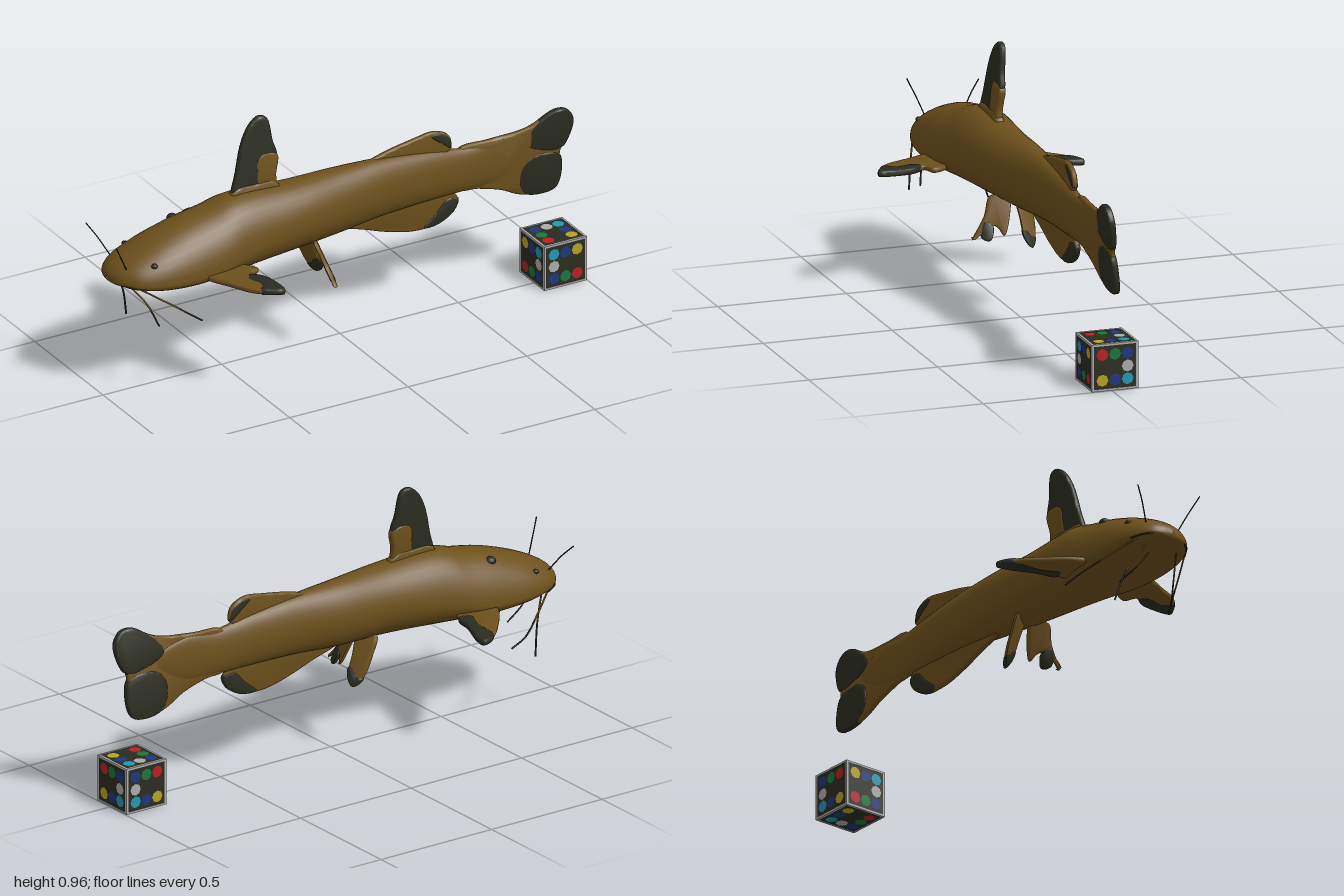
import * as THREE from 'three';
import { toCreasedNormals } from 'three/addons/utils/BufferGeometryUtils.js';

const V = (x, y, z = 0) => new THREE.Vector3(x, y, z);
const material = (name, color) => {
  const m = new THREE.MeshStandardMaterial({ color });
  m.name = name;
  return m;
};

export function createModel() {
  const model = new THREE.Group();
  const skin = material('brown skin', 0x6d501c);
  const dark = material('dark fin', 0x2b2c20);
  const red = material('red', 0xbc1e22);
  const green = material('green', 0x1c763a);
  const blue = material('blue', 0x22357e);
  const cyan = material('cyan', 0x2098b4);
  const yellow = material('yellow', 0xb8a220);
  const white = material('pale grey', 0xacacac);

  const add = (name, geometry, mat, parent = model) => {
    const mesh = new THREE.Mesh(geometry, mat);
    mesh.name = name;
    parent.add(mesh);
    return mesh;
  };

  // Body: lofted rings of [x, top, bottom, y of widest point, centre z, half width]
  const sections = [
    [-0.975, 0.475, 0.465, 0.47, -0.02, 0.001],
    [-0.965, 0.495, 0.45, 0.465, -0.02, 0.05],
    [-0.94, 0.52, 0.44, 0.465, -0.017, 0.09],
    [-0.89, 0.55, 0.423, 0.46, -0.013, 0.127],
    [-0.8, 0.59, 0.405, 0.455, -0.01, 0.15],
    [-0.68, 0.63, 0.395, 0.455, -0.008, 0.157],
    [-0.56, 0.655, 0.393, 0.47, -0.008, 0.153],
    [-0.44, 0.682, 0.395, 0.5, -0.008, 0.137],
    [-0.2, 0.672, 0.405, 0.53, -0.01, 0.112],
    [0, 0.665, 0.41, 0.535, -0.025, 0.09],
    [0.2, 0.655, 0.425, 0.535, -0.033, 0.062],
    [0.4, 0.63, 0.43, 0.525, -0.038, 0.042],
    [0.55, 0.605, 0.43, 0.515, -0.04, 0.028],
    [0.7, 0.605, 0.435, 0.515, -0.036, 0.018],
    [0.86, 0.54, 0.5, 0.515, -0.026, 0.004],
  ];
  const spline = (k) => new THREE.CatmullRomCurve3(
    sections.map((s) => V(s[k], s[k + 1], s[k + 2])), false, 'catmullrom', 0.5);
  const heights = spline(0), widths = spline(3);
  const rings = 84, sides = 36, pos = [], index = [];
  for (let i = 0; i <= rings; i++) {
    const { x, y: top, z: bottom } = heights.getPoint(i / rings);
    const { x: mid, y: zc, z: half } = widths.getPoint(i / rings);
    for (let j = 0; j < sides; j++) {
      const a = (j / sides) * Math.PI * 2, s = Math.sin(a);
      pos.push(x, mid + s * (s > 0 ? top - mid : mid - bottom), zc + half * Math.cos(a));
      if (i === rings) continue;
      const p = i * sides + j, q = i * sides + ((j + 1) % sides);
      index.push(p, p + sides, q, q, p + sides, q + sides);
    }
  }
  const bodyGeometry = new THREE.BufferGeometry();
  bodyGeometry.setAttribute('position', new THREE.Float32BufferAttribute(pos, 3));
  bodyGeometry.setIndex(index);
  bodyGeometry.computeVertexNormals();
  add('body', bodyGeometry, skin);

  // Fins: rounded plates from a smooth outline, bent into place by a rule
  const fin = (name, outline, thick, mat, place, grow = 0) => {
    const curve = new THREE.CatmullRomCurve3(outline.map(([u, v]) => V(u, v)), true, 'centripetal');
    const shape = new THREE.Shape(curve.getPoints(outline.length * 5).slice(0, -1)
      .map((p) => new THREE.Vector2(p.x, p.y)));
    const t = thick + grow * 2;
    const g = new THREE.ExtrudeGeometry(shape, {
      depth: t * 0.4, bevelThickness: t * 0.3, bevelSize: 0.007, bevelOffset: grow - 0.007, bevelSegments: 2,
    });
    g.translate(0, 0, -t * 0.2);
    const p = g.attributes.position;
    for (let i = 0; i < p.count; i++) p.setXYZ(i, ...place(p.getX(i), p.getY(i), p.getZ(i)));
    return add(name, toCreasedNormals(g, 0.9), mat);
  };

  // Dorsal fin
  const dorsal = (x, y, w) => [x, y, w - 0.01 - (y - 0.68) * 0.09];
  fin('dorsalFin', [[-0.45, 0.65], [-0.43, 0.76], [-0.4, 0.87], [-0.365, 0.93], [-0.325, 0.957],
    [-0.292, 0.945], [-0.272, 0.85], [-0.257, 0.8], [-0.268, 0.72], [-0.27, 0.65]], 0.024, dark, dorsal);
  fin('dorsalFinPatch', [[-0.345, 0.65], [-0.347, 0.73], [-0.342, 0.79], [-0.315, 0.81], [-0.258, 0.795],
    [-0.268, 0.72], [-0.27, 0.65]], 0.024, skin, dorsal, 0.002);
  fin('dorsalFinBase', [[-0.46, 0.66], [-0.44, 0.695], [-0.35, 0.7], [-0.28, 0.695], [-0.25, 0.66]],
    0.03, skin, dorsal, 0.002);

  // Adipose and anal fins
  const midline = (x, y, w) => [x, y, w - 0.038];
  fin('adiposeFin', [[0.12, 0.64], [0.2, 0.67], [0.33, 0.695], [0.42, 0.705], [0.48, 0.675],
    [0.487, 0.62], [0.42, 0.6], [0.25, 0.6]], 0.02, skin, midline);
  fin('adiposeFinTip', [[0.4, 0.692], [0.43, 0.696], [0.475, 0.672], [0.487, 0.625], [0.45, 0.65]],
    0.02, dark, midline, 0.002);
  fin('analFin', [[0.01, 0.42], [0.12, 0.38], [0.22, 0.345], [0.33, 0.32], [0.43, 0.325], [0.5, 0.365],
    [0.517, 0.41], [0.47, 0.46], [0.25, 0.47], [0.08, 0.46]], 0.02, skin, midline);
  fin('analFinTip', [[0.37, 0.325], [0.43, 0.325], [0.5, 0.365], [0.517, 0.41], [0.47, 0.418],
    [0.42, 0.37]], 0.02, dark, midline, 0.002);

  // Tail fin, twisting slightly towards its rear edge
  const tail = (x, y, w) => [x, y,
    w - 0.04 + (x - 0.6) * 0.05 + (y - 0.51) * 0.12 * THREE.MathUtils.smoothstep(x, 0.55, 0.9)];
  fin('tailFin', [[0.52, 0.6], [0.65, 0.615], [0.79, 0.63], [0.86, 0.66], [0.91, 0.684], [0.955, 0.678],
    [0.984, 0.635], [0.972, 0.565], [0.94, 0.505], [0.95, 0.42], [0.93, 0.35], [0.866, 0.337],
    [0.78, 0.355], [0.7, 0.395], [0.6, 0.425], [0.52, 0.44]], 0.022, skin, tail);
  fin('tailUpperTip', [[0.78, 0.57], [0.81, 0.62], [0.86, 0.66], [0.91, 0.684], [0.955, 0.678],
    [0.984, 0.635], [0.972, 0.565], [0.943, 0.52], [0.85, 0.53]], 0.022, dark, tail, 0.002);
  fin('tailLowerTip', [[0.775, 0.405], [0.785, 0.475], [0.84, 0.508], [0.935, 0.493], [0.95, 0.42],
    [0.93, 0.35], [0.866, 0.337], [0.8, 0.355]], 0.022, dark, tail, 0.002);

  // Pectoral fins, held out flat
  const flat = (slope) => (x, z, w) => [x, 0.446 + z * slope - w, z];
  const rightFlat = flat(0.02), leftFlat = flat(0.025);
  fin('rightPectoralFin', [[-0.64, -0.12], [-0.635, -0.17], [-0.555, -0.28], [-0.475, -0.36], [-0.408, -0.39],
    [-0.412, -0.34], [-0.45, -0.235], [-0.465, -0.16], [-0.5, -0.1]], 0.02, skin, rightFlat);
  fin('rightPectoralFinTip', [[-0.475, -0.36], [-0.408, -0.39], [-0.412, -0.34], [-0.45, -0.235],
    [-0.465, -0.16], [-0.51, -0.17], [-0.485, -0.25]], 0.02, dark, rightFlat, 0.002);
  fin('leftPectoralFin', [[-0.64, 0.1], [-0.64, 0.15], [-0.6, 0.235], [-0.555, 0.325], [-0.5, 0.37],
    [-0.457, 0.388], [-0.45, 0.325], [-0.465, 0.245], [-0.49, 0.2], [-0.447, 0.18], [-0.49, 0.11]],
    0.02, skin, leftFlat);
  fin('leftPectoralFinTip', [[-0.53, 0.345], [-0.5, 0.37], [-0.457, 0.388], [-0.45, 0.325], [-0.465, 0.245],
    [-0.5, 0.21], [-0.52, 0.24], [-0.505, 0.31]], 0.02, dark, leftFlat, 0.002);

  // Pelvic fins, hanging below the belly, swept back and angled forward at the outer edge
  const hanging = (base, tilt) => (z, y, w) => [-0.125 + (0.41 - y) * 0.44 + (z - base) * tilt - w, y, z];
  const leftHang = hanging(0.05, -0.35), rightHang = hanging(-0.055, 0.55);
  fin('leftPelvicFin', [[0.07, 0.43], [0.1, 0.36], [0.152, 0.28], [0.118, 0.31], [0.115, 0.285], [0.09, 0.28],
    [0.075, 0.33], [0.055, 0.318], [0.04, 0.295], [0.01, 0.37], [0.005, 0.43]], 0.018, skin, leftHang);
  fin('leftPelvicFinTip', [[0.118, 0.31], [0.115, 0.285], [0.09, 0.28], [0.076, 0.33], [0.1, 0.345]],
    0.018, dark, leftHang, 0.002);
  fin('rightPelvicFin', [[-0.02, 0.43], [-0.025, 0.35], [-0.035, 0.28], [-0.065, 0.245], [-0.085, 0.275],
    [-0.09, 0.36], [-0.08, 0.43]], 0.018, skin, rightHang);
  fin('rightPelvicFinTip', [[-0.03, 0.31], [-0.035, 0.28], [-0.065, 0.245], [-0.084, 0.275], [-0.065, 0.285],
    [-0.05, 0.305]], 0.018, dark, rightHang, 0.002);

  // Barbels (brown at the root, dark at the tip) and mouth line
  const whisker = (name, radius, brownShare, ...points) => {
    const g = new THREE.TubeGeometry(new THREE.CatmullRomCurve3(points.map((p) => V(...p))), 16, radius, 6);
    // TubeGeometry stores its faces ring by ring: 6 sides of 6 indices each
    const split = Math.round(16 * brownShare) * 36;
    g.addGroup(0, split, 0);
    g.addGroup(split, 16 * 36 - split, 1);
    add(name, g, [skin, dark]);
  };
  whisker('leftNasalBarbel', 0.0025, 0, [-0.92, 0.5, 0.04], [-0.96, 0.575, 0.065], [-0.997, 0.64, 0.09]);
  whisker('rightNasalBarbel', 0.0025, 0, [-0.91, 0.5, -0.09], [-0.945, 0.575, -0.14], [-0.97, 0.62, -0.18]);
  whisker('leftMouthBarbel', 0.0035, 0.6, [-0.9, 0.45, 0.1], [-0.8, 0.385, 0.145], [-0.69, 0.31, 0.19]);
  whisker('rightMouthBarbel', 0.0035, 0.5, [-0.9, 0.45, -0.12], [-0.8, 0.39, -0.185], [-0.71, 0.34, -0.235],
    [-0.635, 0.315, -0.25]);
  whisker('leftChinBarbel', 0.0035, 0.6, [-0.91, 0.44, 0.05], [-0.86, 0.37, 0.08], [-0.82, 0.28, 0.1]);
  whisker('rightChinBarbel', 0.0035, 0.5, [-0.9, 0.44, -0.08], [-0.84, 0.33, -0.13], [-0.81, 0.215, -0.16]);
  whisker('rightInnerBarbel', 0.003, 0.5, [-0.89, 0.44, -0.04], [-0.82, 0.38, -0.06], [-0.74, 0.34, -0.08]);
  whisker('mouth', 0.003, 0, [-0.88, 0.447, 0.114], [-0.935, 0.455, 0.075], [-0.968, 0.466, -0.02],
    [-0.935, 0.455, -0.11], [-0.88, 0.447, -0.142]);

  // Eyes and the dark spot on the back of the head
  for (const [name, x, y, z, r] of [['leftEye', -0.84, 0.53, 0.099, 0.012],
    ['rightEye', -0.84, 0.53, -0.119, 0.012], ['headSpot', -0.66, 0.604, -0.085, 0.021]]) {
    const eye = add(name, new THREE.SphereGeometry(r, 14, 10), dark);
    eye.position.set(x, y, z);
    eye.scale.y = 0.8;
  }

  // Colour cube with a pale frame and dots on every face
  const cube = new THREE.Group();
  cube.name = 'colourCube';
  cube.position.set(0.908, 0.09, -0.012);
  model.add(cube);
  const h = 0.0885;
  add('cubeCore', new THREE.BoxGeometry(2 * h, 2 * h, 2 * h), dark, cube);
  const e = 0.008, m = 0.09 - e / 2;
  for (const a of [-m, m]) for (const b of [-m, m]) {
    add('cubeEdgeX', new THREE.BoxGeometry(0.18, e, e), white, cube).position.set(0, a, b);
    add('cubeEdgeY', new THREE.BoxGeometry(e, 0.18, e), white, cube).position.set(a, 0, b);
    add('cubeEdgeZ', new THREE.BoxGeometry(e, e, 0.18), white, cube).position.set(a, b, 0);
  }
  const faces = [
    [0, 0, [cyan, blue, yellow, white, null, null, blue, green, red]],
    [0, Math.PI / 2, [red, green, blue, null, null, white, yellow, blue, cyan]],
    [0, Math.PI, [blue, green, red, white, null, null, cyan, blue, yellow]],
    [0, -Math.PI / 2, [yellow, blue, cyan, null, null, white, red, green, blue]],
    [-Math.PI / 2, 0, [blue, white, cyan, green, null, blue, red, null, yellow]],
    [Math.PI / 2, 0, [red, green, blue, null, null, white, yellow, blue, cyan]],
  ];
  const dot = new THREE.CircleGeometry(0.023, 8);
  for (const [rx, ry, colours] of faces) {
    const face = new THREE.Group();
    face.name = 'cubeFace';
    face.rotation.set(rx, ry, 0);
    cube.add(face);
    colours.forEach((c, i) => {
      if (c) add('dot', dot, c, face).position.set((i % 3 - 1) * 0.049, (1 - Math.floor(i / 3)) * 0.049, h + 0.002);
    });
  }
  return model;
}
